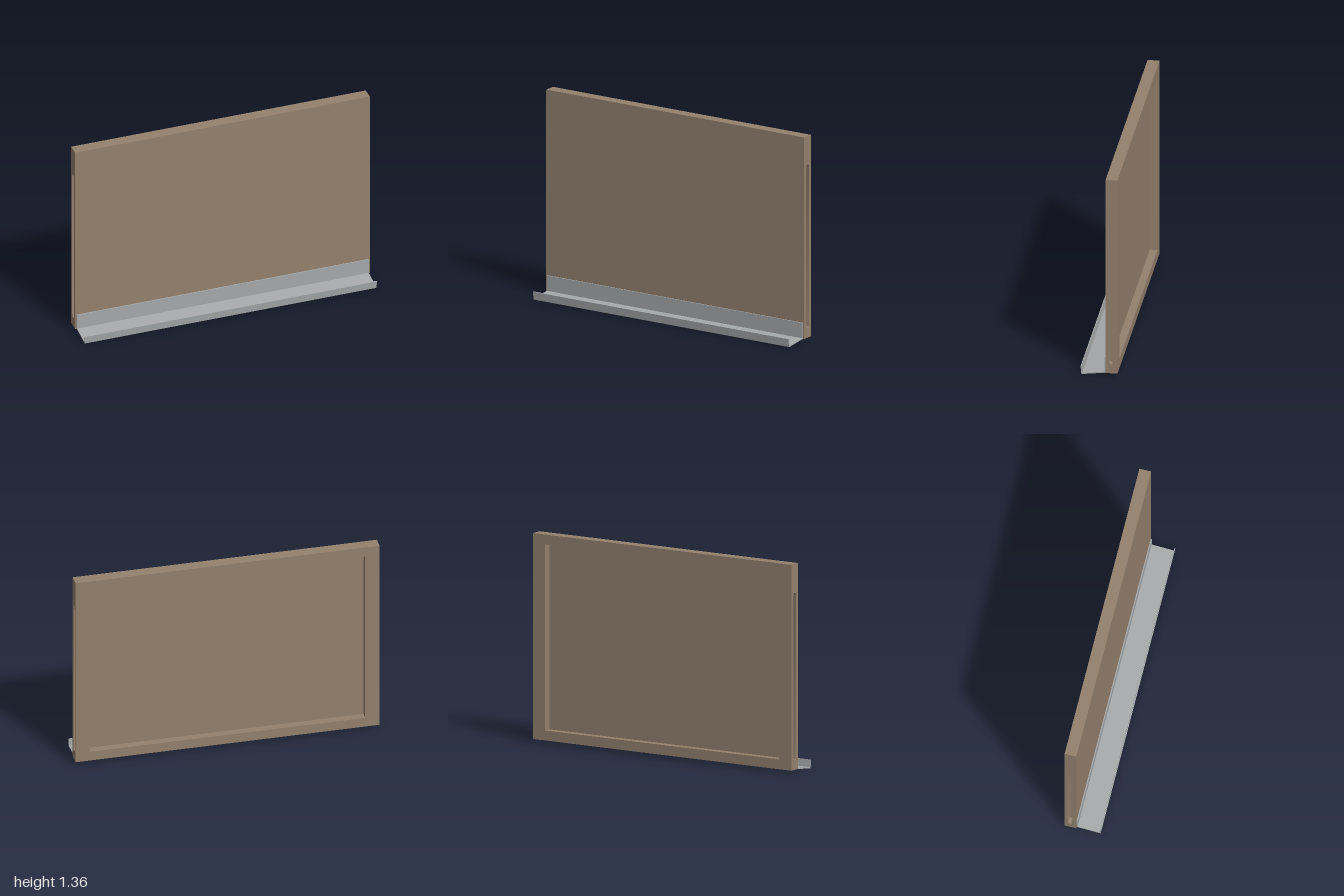
import * as THREE from 'three';
import { mergeGeometries, toCreasedNormals } from 'three/addons/utils/BufferGeometryUtils.js';

const W = 2, BOTTOM = 0.02, TOP = 1.36, BACK = -0.12, FRONT = -0.043;
const H = TOP - BOTTOM, D = FRONT - BACK;
const CY = (TOP + BOTTOM) / 2, CZ = (FRONT + BACK) / 2;

function rectPath(w, h, y = 0) {
  return [[-w / 2, y - h / 2], [w / 2, y - h / 2], [w / 2, y + h / 2], [-w / 2, y + h / 2]]
    .map(([a, b]) => new THREE.Vector2(a, b));
}

// Outline of a slot with round ends
function slotPath(w, h, y) {
  const r = w / 2, s = h / 2 - r, points = [], n = 10;
  for (const end of [1, -1]) {
    for (let i = 0; i <= n; i++) {
      const a = (i / n) * Math.PI;
      points.push(new THREE.Vector2(end * r * Math.cos(a), y + end * (s + r * Math.sin(a))));
    }
  }
  return points;
}

// Rectangular face towards +z with a blind pocket sunk into it
function pocketedFace(w, h, path, depth) {
  const shape = new THREE.Shape(rectPath(w, h));
  shape.holes.push(new THREE.Path(path));
  const face = new THREE.ShapeGeometry(shape).toNonIndexed();
  const floor = new THREE.ShapeGeometry(new THREE.Shape(path)).toNonIndexed();
  floor.translate(0, 0, -depth);
  const pos = [];
  path.forEach((a, i) => {
    const b = path[(i + 1) % path.length];
    // Walls face the inside of the pocket
    pos.push(a.x, a.y, 0, b.x, b.y, -depth, a.x, a.y, -depth);
    pos.push(a.x, a.y, 0, b.x, b.y, 0, b.x, b.y, -depth);
  });
  let walls = new THREE.BufferGeometry();
  walls.setAttribute('position', new THREE.Float32BufferAttribute(pos, 3));
  walls.computeVertexNormals();
  walls = toCreasedNormals(walls, 0.6);
  face.deleteAttribute('uv');
  floor.deleteAttribute('uv');
  return mergeGeometries([face, floor, walls]);
}

export function createModel() {
  const group = new THREE.Group();
  const brown = new THREE.MeshStandardMaterial({ color: 0x94816e, side: THREE.DoubleSide });
  brown.name = 'brown panel';
  const grey = new THREE.MeshStandardMaterial({ color: 0xa6a9aa });
  grey.name = 'grey metal';

  const panel = new THREE.Group();
  panel.name = 'panel';
  panel.position.set(0, CY, CZ);
  group.add(panel);
  const add = (name, geometry, parent, material) => {
    const mesh = new THREE.Mesh(geometry, material);
    mesh.name = name;
    parent.add(mesh);
    return mesh;
  };

  // Plain front, top and bottom
  add('panelFront', new THREE.PlaneGeometry(W, H).translate(0, 0, D / 2), panel, brown);
  for (const s of [1, -1]) {
    add(s > 0 ? 'panelTop' : 'panelBottom',
      new THREE.PlaneGeometry(W, D).rotateX(-s * Math.PI / 2).translate(0, s * H / 2, 0), panel, brown);
  }

  // Back frame with a wide recess
  add('backFrame', pocketedFace(W, H, rectPath(W - 0.19, H - 0.13), 0.05)
    .rotateY(Math.PI).translate(0, 0, -D / 2), panel, brown);

  // Sides with a long grip slot
  for (const s of [1, -1]) {
    add(s > 0 ? 'leftSide' : 'rightSide', pocketedFace(D, H, slotPath(0.034, 1.09, -0.063), 0.04)
      .rotateY(s * Math.PI / 2).translate(s * W / 2, 0, 0), panel, brown);
  }

  // Bent sheet-metal tray, drawn as a (z, y) section
  const section = new THREE.Shape([
    [FRONT, 0.127], [FRONT, 0.018], [0.111, 0], [0.115, 0.003], [0.12, 0.055],
    [0.114, 0.056], [0.109, 0.008], [-0.036, 0.025], [-0.036, 0.127],
  ].map(([z, y]) => new THREE.Vector2(z, y)));
  add('tray', new THREE.ExtrudeGeometry(section, { depth: 1.98, bevelEnabled: false })
    .translate(0, 0, -0.99).rotateY(-Math.PI / 2), group, grey);

  return group;
}
